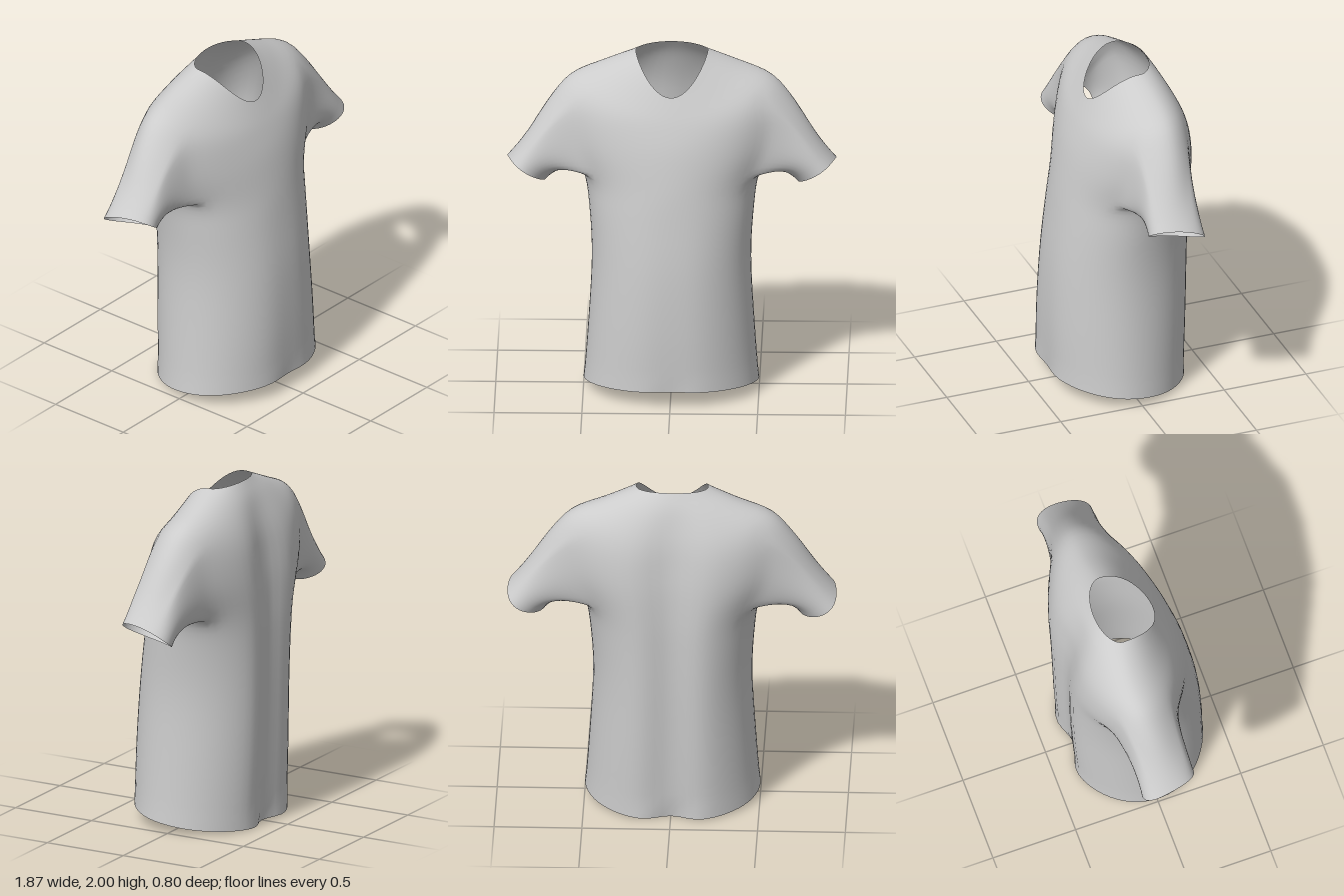
import * as THREE from 'three';

const COLS = 64, STEPS = 5;          // columns round the body, rows per key ring
const HOLE = { r0: 20, r1: 30, d: 6 }; // armhole: rows r0..r1, columns -d..d round each side

const track = (pts) => new THREE.CatmullRomCurve3(pts.map((p) => new THREE.Vector3(...p)), false, 'catmullrom', 0.5);

// Key rings from hem to neckline, given at the side, centre front and centre back
const side = track([[0.5, 0.05, 0.02], [0.475, 0.4, 0.01], [0.455, 0.78, 0], [0.472, 1.08, -0.02], [0.505, 1.28, -0.06],
  [0.62, 1.5, -0.1], [0.62, 1.8, -0.11], [0.4, 1.91, -0.12], [0.205, 1.99, -0.1]]);
const front = track([[0, 0.09, 0.415], [0, 0.42, 0.415], [0, 0.78, 0.395], [0, 1.08, 0.355], [0, 1.27, 0.322],
  [0, 1.48, 0.278], [0, 1.62, 0.23], [0, 1.71, 0.19], [0, 1.79, 0.15]]);
const back = track([[0, 0, -0.41], [0, 0.38, -0.43], [0, 0.78, -0.443], [0, 1.08, -0.445], [0, 1.27, -0.44],
  [0, 1.5, -0.42], [0, 1.7, -0.378], [0, 1.88, -0.295], [0, 2, -0.21]]);
const KEYS = 8, ROWS = KEYS * STEPS;

// Point on the body at a row and column; column 0 is the left side, angles run to the front
function bodyPoint(row, col) {
  const u = row / ROWS, a = (col / COLS) * Math.PI * 2;
  const s = Math.sin(a), k = Math.abs(s);
  const S = side.getPoint(u), E = (s >= 0 ? front : back).getPoint(u);
  const x = S.x * Math.cos(a);
  // Soft folds down the spine and the lower front
  const fold = k * Math.exp(-((x / 0.12) ** 2));
  const dent = s < 0
    ? 0.08 * (1 - THREE.MathUtils.smoothstep(u, 0.65, 0.98))
    : -0.025 * Math.max(0, 1 - u * 2);
  return new THREE.Vector3(x, S.y + (E.y - S.y) * k ** (1 + u), S.z + (E.z - S.z) * k + dent * fold);
}

// Point on the left cuff: 0 is the underside, a quarter turn the front
function cuffPoint(phi) {
  const c = -Math.cos(phi), s = Math.sin(phi);
  return new THREE.Vector3(0.826 + 0.105 * c - 0.025 * s + 0.03 * s * s,
    1.28 + 0.07 * c + 0.022 * s, -0.07 + 0.01 * c + 0.16 * s);
}

// Armhole edge as [row, column offset], from the underarm round the front and back again
function armholeLoop() {
  const { r0, r1, d } = HOLE, loop = [];
  for (let c = 0; c < d; c++) loop.push([r0, c]);
  for (let r = r0; r < r1; r++) loop.push([r, d]);
  for (let c = d; c > -d; c--) loop.push([r1, c]);
  for (let r = r1; r > r0; r--) loop.push([r, -d]);
  for (let c = -d; c < 0; c++) loop.push([r0, c]);
  return loop;
}

// Relax the interior points so sleeves and body flow together
function relax(points, pinned, index, passes) {
  const near = points.map(() => new Set());
  for (let i = 0; i < index.length; i += 3) {
    for (let j = 0; j < 3; j++) {
      const a = index[i + j], b = index[i + ((j + 1) % 3)];
      near[a].add(b);
      near[b].add(a);
    }
  }
  for (let n = 0; n < passes; n++) {
    const next = points.map((p, i) => {
      if (pinned.has(i)) return p;
      const m = new THREE.Vector3();
      near[i].forEach((j) => m.add(points[j]));
      return p.clone().lerp(m.divideScalar(near[i].size), 0.5);
    });
    next.forEach((p, i) => { points[i] = p; });
  }
}

function shirtGeometry() {
  const points = [], index = [], pinned = new Set();
  const add = (p) => points.push(p) - 1;
  const quad = (a, b, c, d, flip) => (flip ? index.push(a, b, c, b, d, c) : index.push(a, c, b, b, c, d));
  const wrap = (c) => (c + COLS) % COLS;
  const offset = (c) => { // columns away from the nearest side
    const m = c % (COLS / 2);
    return Math.min(m, COLS / 2 - m);
  };

  // Body, leaving the armholes open
  const grid = [];
  for (let r = 0; r <= ROWS; r++) {
    grid.push([]);
    for (let c = 0; c < COLS; c++) {
      const inside = r > HOLE.r0 && r < HOLE.r1 && offset(c) < HOLE.d;
      grid[r].push(inside ? -1 : add(bodyPoint(r, c)));
      if (r === 0 || r === ROWS) pinned.add(grid[r][c]);
    }
  }
  for (let r = 0; r < ROWS; r++) {
    for (let c = 0; c < COLS; c++) {
      const n = wrap(c + 1);
      const open = r >= HOLE.r0 && r < HOLE.r1 && offset(c) <= HOLE.d && offset(n) <= HOLE.d;
      if (!open) quad(grid[r][c], grid[r][n], grid[r + 1][c], grid[r + 1][n]);
    }
  }

  // Sleeves: curves leave the armhole along the body surface and arrive along the arm
  const loop = armholeLoop(), N = loop.length, RINGS = 14;
  const arm = new THREE.Vector3(0.65, -0.76, 0);
  const curves = loop.map(([r, d], i) => {
    const phi = (i / N) * Math.PI * 2;
    const P = bodyPoint(r, d), C = cuffPoint(phi);
    const qr = r === HOLE.r0 ? r - 1 : r === HOLE.r1 ? r + 1 : r;
    const qd = Math.abs(d) === HOLE.d ? d + Math.sign(d) : d;
    const reach = P.distanceTo(C) * 0.4;
    const toCuff = C.clone().sub(P).normalize();
    const leave = P.clone().sub(bodyPoint(qr, qd)).normalize()
      .addScaledVector(toCuff, 3 * Math.sin(phi) ** 2).normalize();
    return new THREE.CubicBezierCurve3(P, P.clone().addScaledVector(leave, reach),
      C.clone().addScaledVector(arm, -reach), C);
  });
  for (const sx of [1, -1]) {
    let ring = loop.map(([r, d]) => grid[r][wrap(sx > 0 ? d : COLS / 2 - d)]);
    for (let k = 1; k <= RINGS; k++) {
      const next = curves.map((curve) => {
        const p = curve.getPoint(k / RINGS);
        p.x *= sx;
        return add(p);
      });
      if (k === RINGS) next.forEach((i) => pinned.add(i));
      for (let i = 0; i < N; i++) {
        const j = (i + 1) % N;
        quad(ring[i], ring[j], next[i], next[j], sx < 0);
      }
      ring = next;
    }
  }

  relax(points, pinned, index, 4);
  const geo = new THREE.BufferGeometry().setFromPoints(points);
  geo.setIndex(index);
  geo.computeVertexNormals();
  return geo;
}

export function createModel() {
  const group = new THREE.Group();
  group.name = 'shirt';
  const cloth = new THREE.MeshStandardMaterial({ color: 0xcccccc, side: THREE.DoubleSide });
  const shirt = new THREE.Mesh(shirtGeometry(), cloth);
  shirt.name = 'bodyAndSleeves';
  group.add(shirt);
  return group;
}
